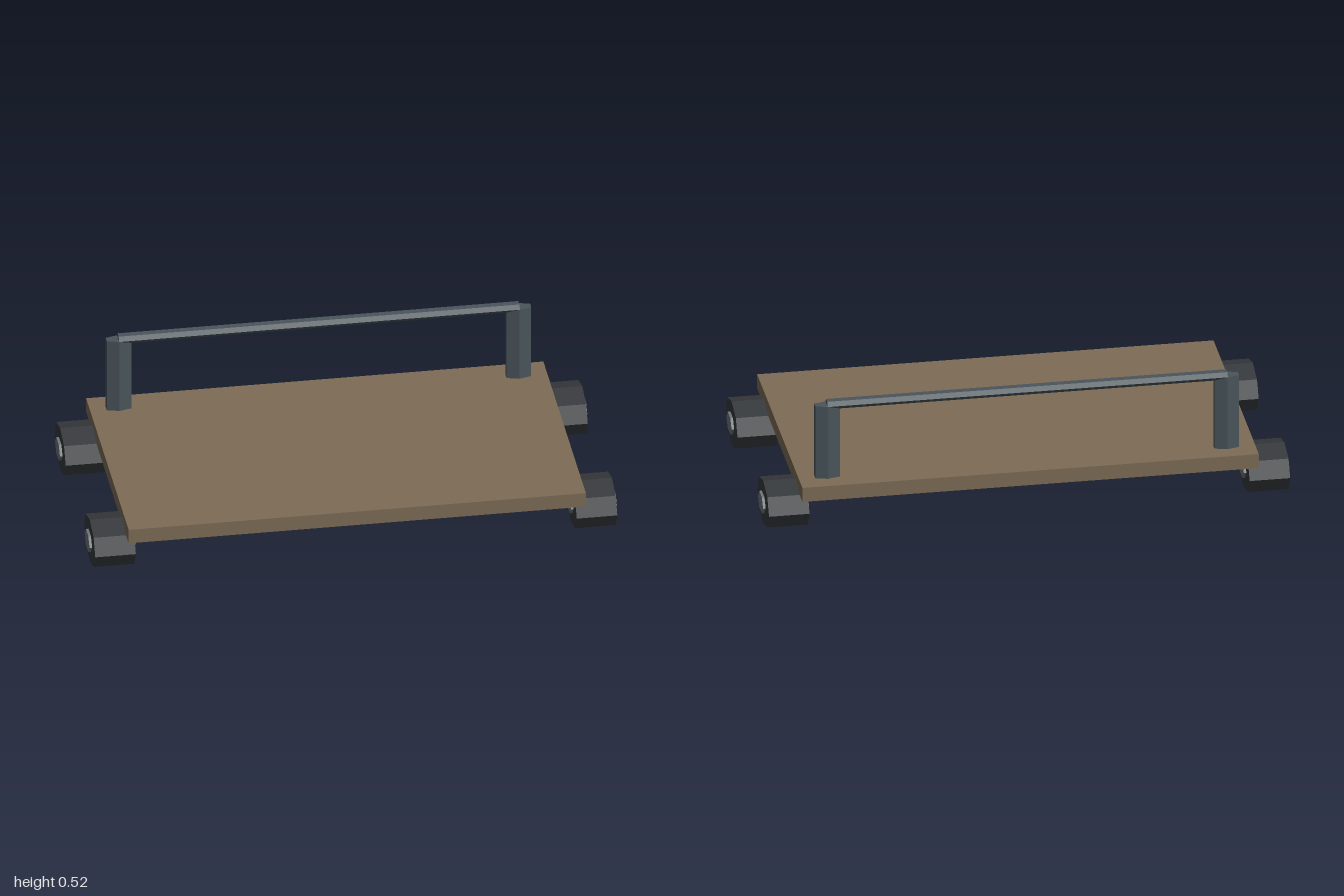
import * as THREE from 'three';

const paint = (color) => new THREE.MeshStandardMaterial({ color, flatShading: true });

// Unit prism with corners on the z axis, along y or turned to lie along x, then sized
function prism(name, sides, alongX, size, position, material) {
  const geometry = new THREE.CylinderGeometry(1, 1, 1, sides);
  if (alongX) geometry.rotateZ(Math.PI / 2);
  geometry.scale(...size);
  const mesh = new THREE.Mesh(geometry, material);
  mesh.name = name;
  mesh.position.set(...position);
  return mesh;
}

export function createModel() {
  const model = new THREE.Group();
  model.name = 'platformCart';
  const wood = paint(0x7d6c56);
  const steel = paint(0x4a555b);
  const rubber = paint(0x36393c);
  const hubMetal = paint(0x70767a);

  // Flat deck
  const deck = new THREE.Mesh(new THREE.BoxGeometry(1.734, 0.058, 1), wood);
  deck.name = 'deck';
  deck.position.y = 0.18;
  model.add(deck);

  // Handle: two flattened hexagonal posts and a crossbar
  const handle = new THREE.Group();
  handle.name = 'handle';
  for (const side of [-1, 1]) {
    handle.add(prism(side > 0 ? 'leftPost' : 'rightPost', 6, false,
      [0.054, 0.3, 0.026], [side * 0.758, 0.357, -0.412], steel));
  }
  handle.add(prism('crossbar', 6, true, [1.52, 0.018, 0.026], [0, 0.507, -0.412], steel));
  model.add(handle);

  // Four octagonal wheels with hubs showing through both faces
  for (const side of [-1, 1]) {
    for (const end of [-1, 1]) {
      const wheel = new THREE.Group();
      wheel.name = (end > 0 ? 'front' : 'back') + (side > 0 ? 'Left' : 'Right') + 'Wheel';
      wheel.position.set(side * 0.913, 0.089, end * 0.348);
      wheel.add(prism('tyre', 8, true, [0.154, 0.089, 0.13], [0, 0, 0], rubber));
      wheel.add(prism('hub', 6, true, [0.174, 0.039, 0.058], [0, 0, 0], hubMetal));
      model.add(wheel);
    }
  }
  return model;
}
